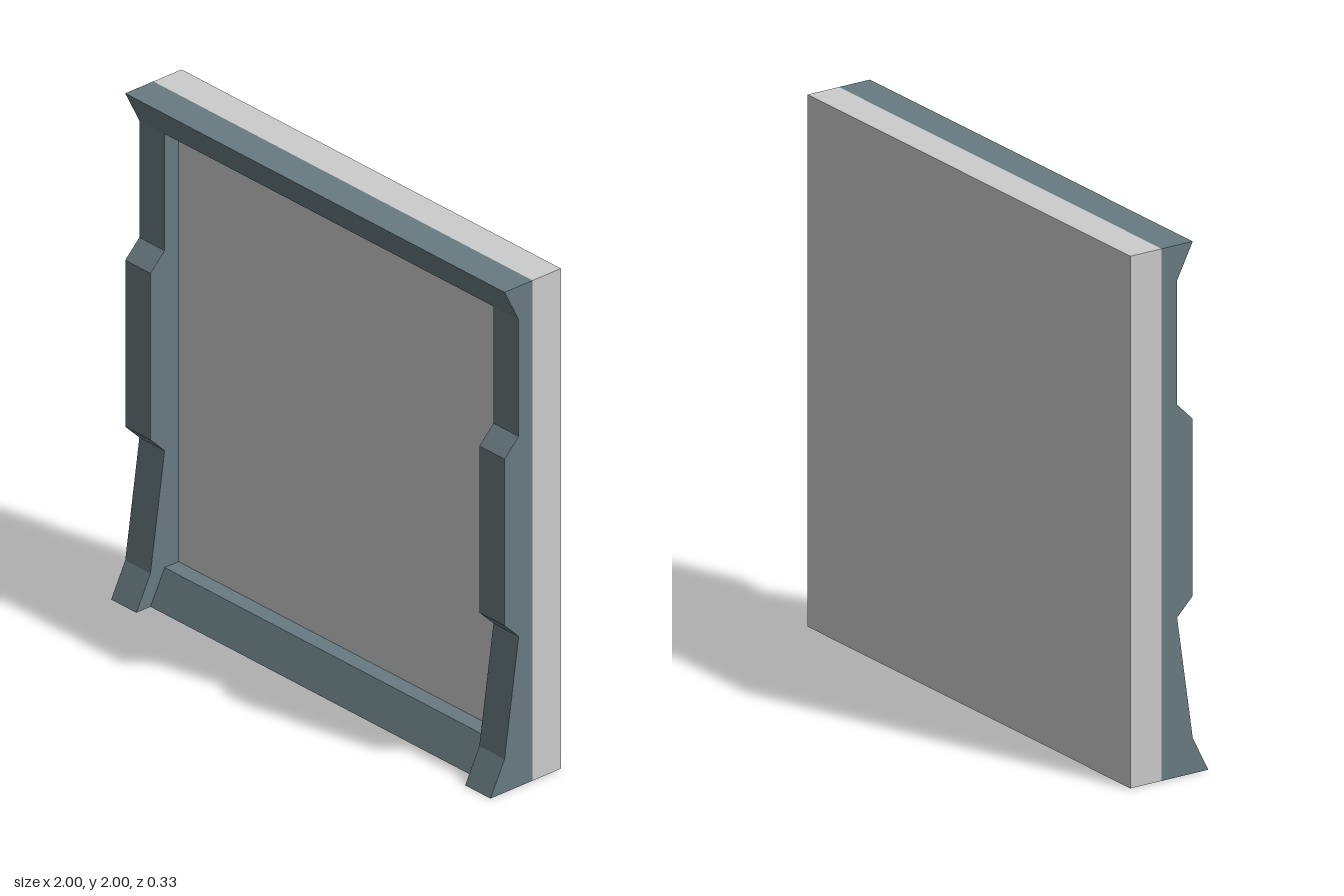
import * as THREE from 'three';

const BACK = -0.033;   // plane where the frame meets the panel
const BAR = 0.133;     // width of the frame members

// Extrudes a side profile of [z, y] points along x, from x0 to x1
function profileBar(name, points, x0, x1, material) {
  const shape = new THREE.Shape(points.map(([z, y]) => new THREE.Vector2(z, y)));
  const geometry = new THREE.ExtrudeGeometry(shape, { depth: x1 - x0, bevelEnabled: false });
  geometry.rotateY(-Math.PI / 2);
  geometry.translate(x1, 0, 0);
  const mesh = new THREE.Mesh(geometry, material);
  mesh.name = name;
  return mesh;
}

export function createModel() {
  const group = new THREE.Group();
  group.name = 'framedPanel';
  const grey = new THREE.MeshStandardMaterial({ color: 0xcccccc, flatShading: true });
  const slate = new THREE.MeshStandardMaterial({ color: 0x687a80, flatShading: true });

  // Flat backing panel
  const panel = new THREE.Mesh(new THREE.BoxGeometry(2, 2, 0.134), grey);
  panel.name = 'backPanel';
  panel.position.set(0, 1, -0.1);
  group.add(panel);

  // Side posts: flared foot, raised middle block, plain upper part
  const post = [
    [BACK, 0], [0.167, 0], [0.1, BAR], [0.033, 0.6], [0.1, 0.667],
    [0.1, 1.333], [0.033, 1.4], [0.033, 2 - BAR], [BACK, 2 - BAR],
  ];
  group.add(profileBar('leftPost', post, 1 - BAR, 1, slate));
  group.add(profileBar('rightPost', post, -1, -1 + BAR, slate));

  // Top rail overhangs toward the front
  const top = [[BACK, 2 - BAR], [0.033, 2 - BAR], [0.1, 2], [BACK, 2]];
  group.add(profileBar('topRail', top, -1, 1, slate));

  // Bottom rail slopes out toward the base, between the posts
  const bottom = [[BACK, 0], [0.1, 0], [0.033, BAR], [BACK, BAR]];
  group.add(profileBar('bottomRail', bottom, -1 + BAR, 1 - BAR, slate));

  return group;
}
